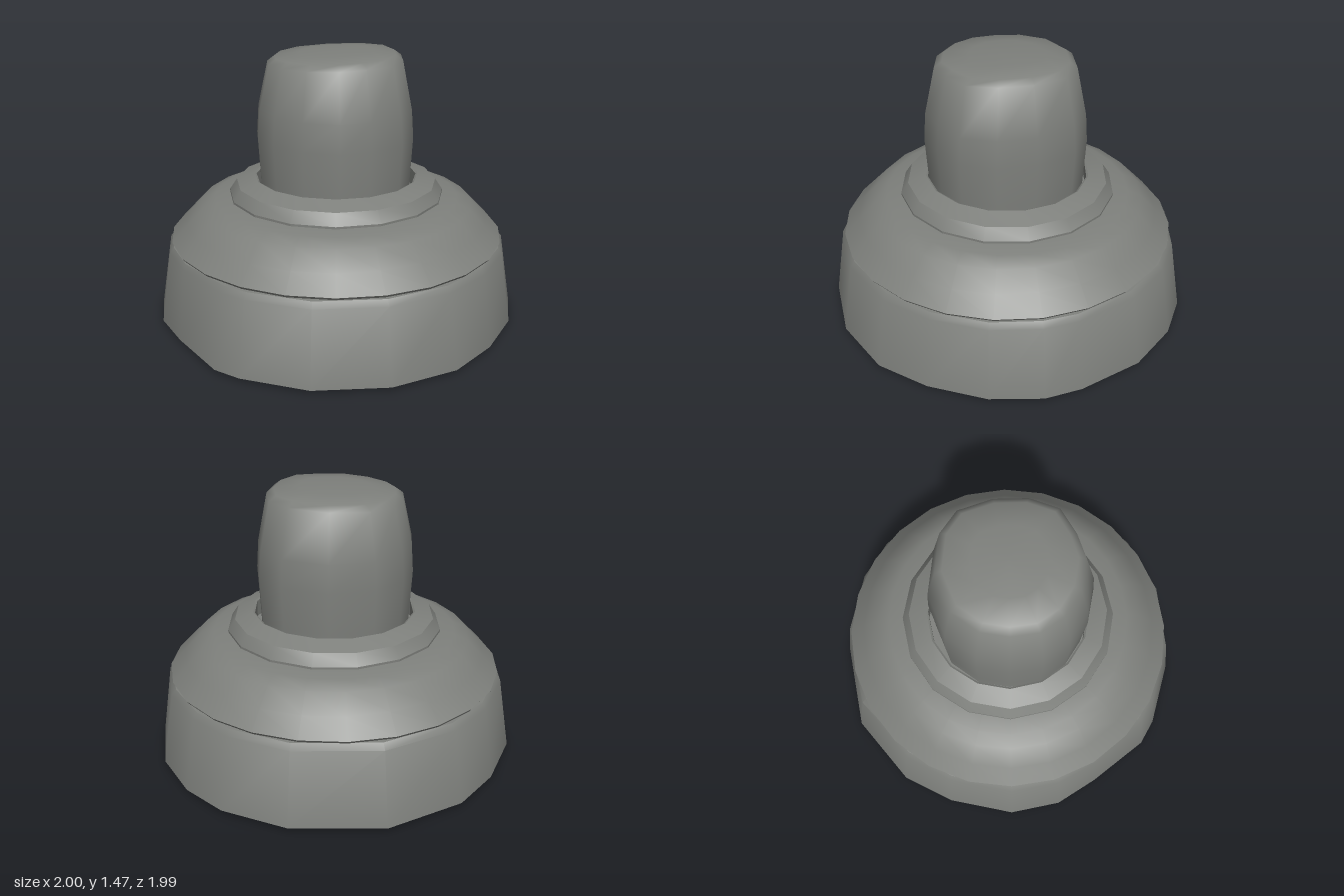
import * as THREE from 'three';
import { mergeGeometries, toCreasedNormals } from 'three/addons/utils/BufferGeometryUtils.js';

const grey = new THREE.MeshStandardMaterial({ color: 0x7e807c, side: THREE.DoubleSide });
grey.name = 'dull grey';

// Irregular plan outlines as [x, z]
const skirtPlan = [[0.04, -1], [0.4, -0.92], [0.63, -0.78], [0.84, -0.54], [0.97, -0.2], [1, 0], [0.95, 0.28],
  [0.8, 0.57], [0.6, 0.8], [0.27, 0.96], [-0.12, 0.99], [-0.47, 0.88], [-0.6, 0.8], [-0.82, 0.5], [-0.95, 0.28],
  [-1, 0], [-0.92, -0.36], [-0.78, -0.63], [-0.44, -0.91]];
const knobPlan = [[-0.05, -0.42], [0.2, -0.39], [0.34, -0.29], [0.41, -0.08], [0.41, 0.13], [0.34, 0.31],
  [0.18, 0.4], [0.02, 0.45], [-0.17, 0.41], [-0.32, 0.31], [-0.41, 0.17], [-0.43, 0], [-0.4, -0.17], [-0.28, -0.33]];

// Skins rings of [scale, y] that share one plan; roundTo pulls a ring towards a circle
function loft(plan, rings, crease, tilt = 0) {
  const positions = [], index = [], n = plan.length;
  for (const [scale, y, roundTo = 0] of rings) {
    for (const [x, z] of plan) {
      const k = scale * (1 - roundTo + roundTo / Math.hypot(x, z));
      positions.push(x * k, y + tilt * x * k * (y > 1.4 ? 1 : 0), z * k);
    }
  }
  for (let j = 0; j < rings.length - 1; j++) {
    for (let i = 0; i < n; i++) {
      const a = j * n + i, b = j * n + (i + 1) % n;
      index.push(a, a + n, b, b, a + n, b + n);
    }
  }
  const g = new THREE.BufferGeometry();
  g.setAttribute('position', new THREE.Float32BufferAttribute(positions, 3));
  g.setIndex(index);
  return toCreasedNormals(g, crease);
}

function lathe(profile, sides, crease = 0.5) {
  const g = new THREE.LatheGeometry(profile.map(([r, y]) => new THREE.Vector2(r, y)), sides);
  return toCreasedNormals(g, crease);
}

// Underside disc with a hexagonal hole and four curved slots
function slottedDisc() {
  const shape = new THREE.Shape().absarc(0, 0, 0.62, 0, Math.PI * 2);
  const hex = new THREE.Path();
  for (let i = 0; i < 6; i++) {
    const a = (i * Math.PI) / 3 + Math.PI / 12;
    const x = 0.22 * Math.cos(a), y = 0.22 * Math.sin(a);
    if (i) hex.lineTo(x, y); else hex.moveTo(x, y);
  }
  hex.closePath();
  shape.holes.push(hex);
  for (let i = 0; i < 4; i++) {
    const a = (i * Math.PI) / 2 - 0.1, b = a + 1.15;
    const slot = new THREE.Path();
    slot.absarc(0, 0, 0.52, a, b, false);
    slot.absarc(0, 0, 0.41, b, a, true);
    slot.closePath();
    shape.holes.push(slot);
  }
  const g = new THREE.ExtrudeGeometry(shape, { depth: 0.035, bevelEnabled: false, curveSegments: 7 });
  return g.rotateX(Math.PI / 2).translate(0, 0.07, 0);
}

// Dense ring of rough, faceted bristle stubs
function bristles() {
  let seed = 7;
  const rand = () => (seed = (seed * 16807) % 2147483647) / 2147483647;
  const parts = [];
  for (let row = 0; row < 5; row++) {
    const radius = 0.64 + 0.06 * row, count = Math.round(radius * 75);
    for (let i = 0; i < count; i++) {
      const g = new THREE.CylinderGeometry(0.05, 0.02 + 0.025 * rand(), 0.075, 4).toNonIndexed();
      g.rotateY(rand() * 6.28).rotateX((rand() - 0.5) * 0.8).rotateY(rand() * 6.28);
      const a = ((i + rand() * 0.6) / count) * Math.PI * 2;
      const r = radius + (rand() - 0.5) * 0.04;
      g.translate(r * Math.cos(a), 0.054 + rand() * 0.015, r * Math.sin(a));
      g.computeVertexNormals();
      parts.push(g);
    }
  }
  return mergeGeometries(parts);
}

export function createModel() {
  const model = new THREE.Group();
  model.name = 'knobbedBase';
  const add = (name, geometry) => {
    const mesh = new THREE.Mesh(geometry, grey);
    mesh.name = name;
    model.add(mesh);
    return mesh;
  };

  // Flared skirt, from its inner lip round to the top edge
  add('skirt', loft(skirtPlan, [
    [0.92, 0.09, 0.8], [0.93, 0.015, 0.5], [0.96, 0.01], [1, 0.025], [0.935, 0.42, 0.6], [0.91, 0.45, 0.9], [0.86, 0.455, 1],
  ], 0.7));

  // Domed shoulder resting in the skirt
  add('shoulder', lathe([
    [0.86, 0.45], [0.905, 0.458], [0.915, 0.472], [0.83, 0.56], [0.745, 0.648], [0.67, 0.678], [0.56, 0.69],
  ], 24, 0.7));

  // Stepped collar with a narrow gap around the knob
  add('collar', lathe([
    [0.56, 0.68], [0.59, 0.688], [0.59, 0.7], [0.55, 0.76], [0.45, 0.795], [0.44, 0.79], [0.44, 0.7], [0.3, 0.7],
  ], 16, 0.35));

  // Tapered knob with a slightly tilted, softly domed top
  add('knob', loft(knobPlan, [
    [0.96, 0.7], [0.97, 0.8], [1, 1.03], [0.975, 1.18], [0.85, 1.43], [0.76, 1.458], [0.45, 1.473], [0, 1.478],
  ], 1, 0.03));

  // Underside: floor, bristles, disc and hexagonal socket
  add('floor', lathe([[0.24, 0.08], [0.94, 0.08]], 24));
  add('bristleRing', bristles());
  add('slottedDisc', slottedDisc());
  const socket = add('hexSocket', toCreasedNormals(
    new THREE.CylinderGeometry(0.22, 0.22, 0.18, 6, 1, true).rotateY(Math.PI / 12), 0.5));
  socket.position.y = 0.125;
  const socketEnd = add('socketEnd', new THREE.CircleGeometry(0.22, 6).rotateZ(Math.PI / 12).rotateX(Math.PI / 2));
  socketEnd.position.y = 0.215;

  return model;
}
